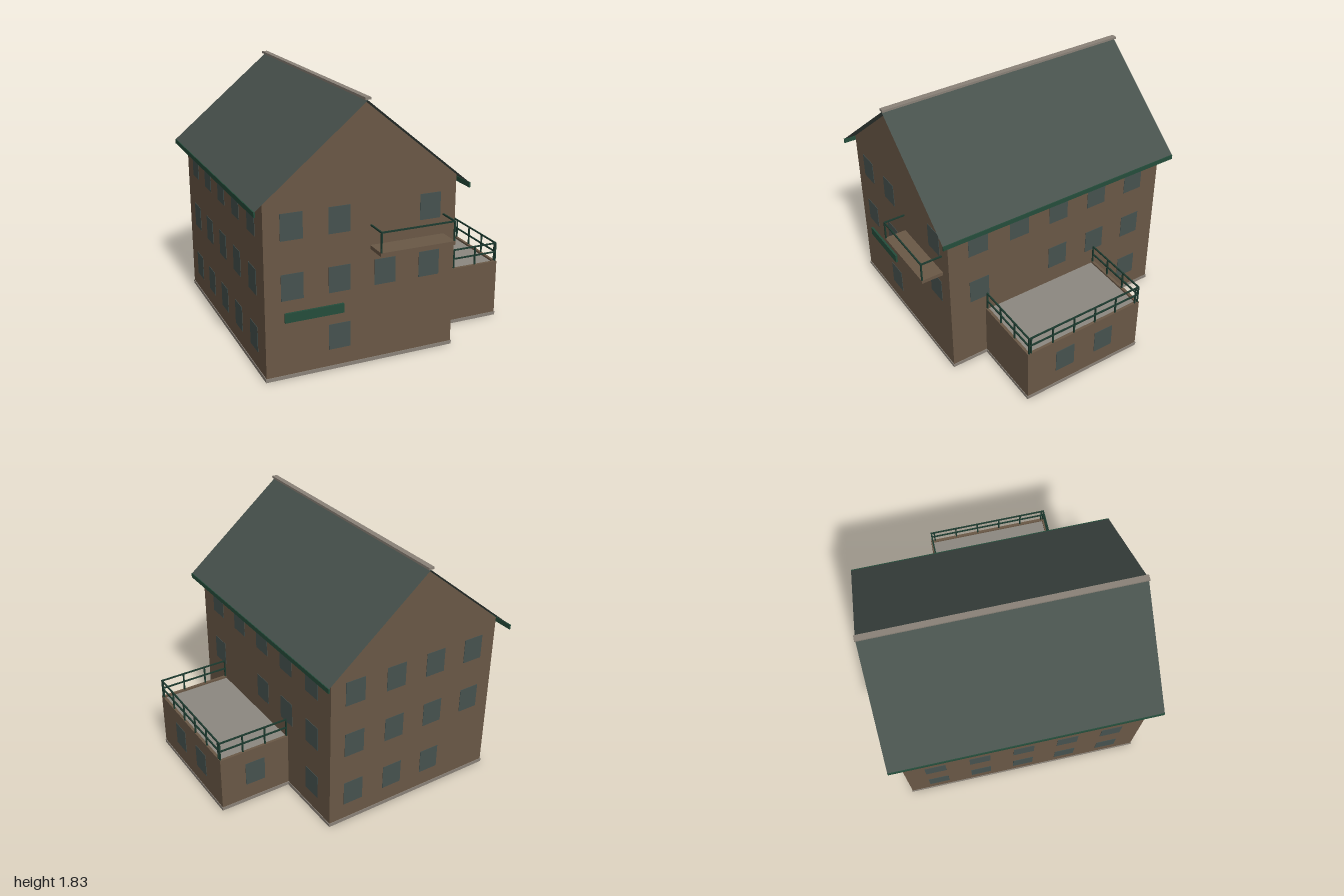
import * as THREE from 'three';

const mat = (name, color, side = THREE.FrontSide) => {
  const m = new THREE.MeshStandardMaterial({ color, side });
  m.name = name;
  return m;
};

export function createModel() {
  const wall = mat('brown wall', 0x6a5846);
  const roof = mat('slate roof', 0x47514c, THREE.DoubleSide);
  const glass = mat('window glass', 0x46524f);
  const green = mat('green trim', 0x254d3b);
  const rail = mat('dark green rail', 0x1d3a2f);
  const stone = mat('grey stone', 0x8a8278);
  const paving = mat('terrace paving', 0x8c8880);

  const model = new THREE.Group();
  model.name = 'house';

  // Box given by its limits on each axis
  const box = (name, m, x0, x1, y0, y1, z0, z1, parent = model) => {
    const mesh = new THREE.Mesh(new THREE.BoxGeometry(x1 - x0, y1 - y0, z1 - z0), m);
    mesh.position.set((x0 + x1) / 2, (y0 + y1) / 2, (z0 + z1) / 2);
    mesh.name = name;
    parent.add(mesh);
    return mesh;
  };
  const group = (name) => {
    const g = new THREE.Group();
    g.name = name;
    model.add(g);
    return g;
  };

  const X0 = -0.915, X1 = 0.44, Z0 = -0.92, Z1 = 0.84, RIDGE = -0.24;

  // Main body with gables
  const gable = new THREE.Shape([
    [X0, 0.01], [X1, 0.01], [X1, 1.238], [RIDGE, 1.798], [X0, 1.238],
  ].map(([x, y]) => new THREE.Vector2(x, y)));
  const body = new THREE.Mesh(
    new THREE.ExtrudeGeometry(gable, { depth: Z1 - Z0, bevelEnabled: false }), wall);
  body.position.z = Z0;
  body.name = 'mainBody';
  model.add(body);
  box('plinth', stone, X0 - 0.005, X1 + 0.005, 0, 0.025, Z0 - 0.005, Z1 + 0.005);

  // Thin roof slopes, eave gutters and ridge cap
  const run = 0.745, drop = 0.615, RZ0 = -0.995, RZ1 = 0.905, ridgeY = 1.806;
  for (const s of [-1, 1]) {
    const geo = new THREE.PlaneGeometry(Math.hypot(run, drop), RZ1 - RZ0);
    geo.rotateX(-Math.PI / 2);
    const slope = new THREE.Mesh(geo, roof);
    slope.rotation.z = -s * Math.atan2(drop, run);
    slope.position.set(RIDGE + s * run / 2, ridgeY - drop / 2, (RZ0 + RZ1) / 2);
    slope.name = s < 0 ? 'rightRoofSlope' : 'leftRoofSlope';
    model.add(slope);
    const x = RIDGE + s * run;
    box('eaveGutter', green, x - 0.005, x + 0.005, 1.158, 1.192, RZ0, RZ1);
  }
  box('ridgeCap', stone, RIDGE - 0.02, RIDGE + 0.02, 1.81, 1.826, -1, 0.908);

  // Side extension with a sunken roof terrace
  const E1 = 0.977, EZ0 = -0.38, EZ1 = 0.565, top = 0.43, t = 0.02;
  const ext = group('extension');
  box('extensionBody', wall, X1, E1, 0.01, 0.41, EZ0, EZ1, ext);
  box('parapetFront', wall, X1, E1, 0.41, top, EZ1 - t, EZ1, ext);
  box('parapetBack', wall, X1, E1, 0.41, top, EZ0, EZ0 + t, ext);
  box('parapetSide', wall, E1 - t, E1, 0.41, top, EZ0 + t, EZ1 - t, ext);
  box('terraceFloor', paving, X1, E1 - t, 0.41, 0.416, EZ0 + t, EZ1 - t, ext);
  box('extensionPlinth', stone, X1, E1 + 0.004, 0, 0.025, EZ0 - 0.004, EZ1 + 0.004, ext);

  // Terrace railing
  const railing = group('terraceRailing');
  const r = 0.005, sideX = 0.97;
  const post = (x, z, y0, y1, g) => box('post', rail, x - r, x + r, y0, y1, z - r, z + r, g);
  for (const y of [0.5, 0.568]) {
    for (const z of [0.553, -0.368])
      box('railBar', rail, X1, sideX + r, y - r, y + r, z - r, z + r, railing);
    box('railBar', rail, sideX - r, sideX + r, y - r, y + r, -0.368, 0.553, railing);
  }
  for (const z of [0.553, -0.368])
    for (const x of [0.446, 0.62, 0.795, sideX]) post(x, z, top, 0.57, railing);
  for (let i = 0; i < 6; i++) post(sideX, 0.537 - i * 0.1765, top, 0.57, railing);

  // Front balcony
  const balcony = group('balcony');
  box('balconySlab', wall, -0.185, 0.355, 0.81, 0.836, Z1, 1, balcony);
  box('balconyRail', rail, -0.185, 0.355, 0.968, 0.978, 0.99, 1, balcony);
  for (const x of [-0.18, 0.35]) {
    post(x, 0.995, 0.836, 0.97, balcony);
    box('balconySideRail', rail, x - r, x + r, 0.968, 0.978, Z1, 0.995, balcony);
  }

  // Canopy board on the front
  box('frontBoard', green, -0.785, -0.375, 0.4, 0.465, Z1, 0.855);

  // Windows as thin plates: rows from the ground up
  const windows = group('windows');
  const rowY = [0.235, 0.64, 1.045], w = 0.076, h = 0.09, d = 0.003;
  const onZ = (x, y, z) => box('window', glass, x - w, x + w, y - h, y + h, z - d, z + d, windows);
  const onX = (x, y, z) => box('window', glass, x - d, x + d, y - h, y + h, z - w, z + w, windows);
  const cols = [-0.728, -0.402, -0.076, 0.25];
  const bays = [0.61, 0.283, -0.042, -0.368, -0.695];
  const front = [[1], [0, 1, 2, 3], [0, 1, 3]];
  const back = [[1, 2, 3], [0, 1, 2, 3], [0, 1, 2, 3]];
  const left = [[4], [0, 2, 3, 4], [0, 1, 2, 3, 4]];
  rowY.forEach((y, i) => {
    front[i].forEach((c) => onZ(cols[c], y, Z1));
    back[i].forEach((c) => onZ(cols[c], y, Z0));
    left[i].forEach((b) => onX(X1, y, bays[b]));
    bays.forEach((z) => onX(X0, y, z));
  });
  onX(E1, rowY[0], 0.257);
  onX(E1, rowY[0], -0.07);
  onZ(0.71, rowY[0], EZ0);

  return model;
}
